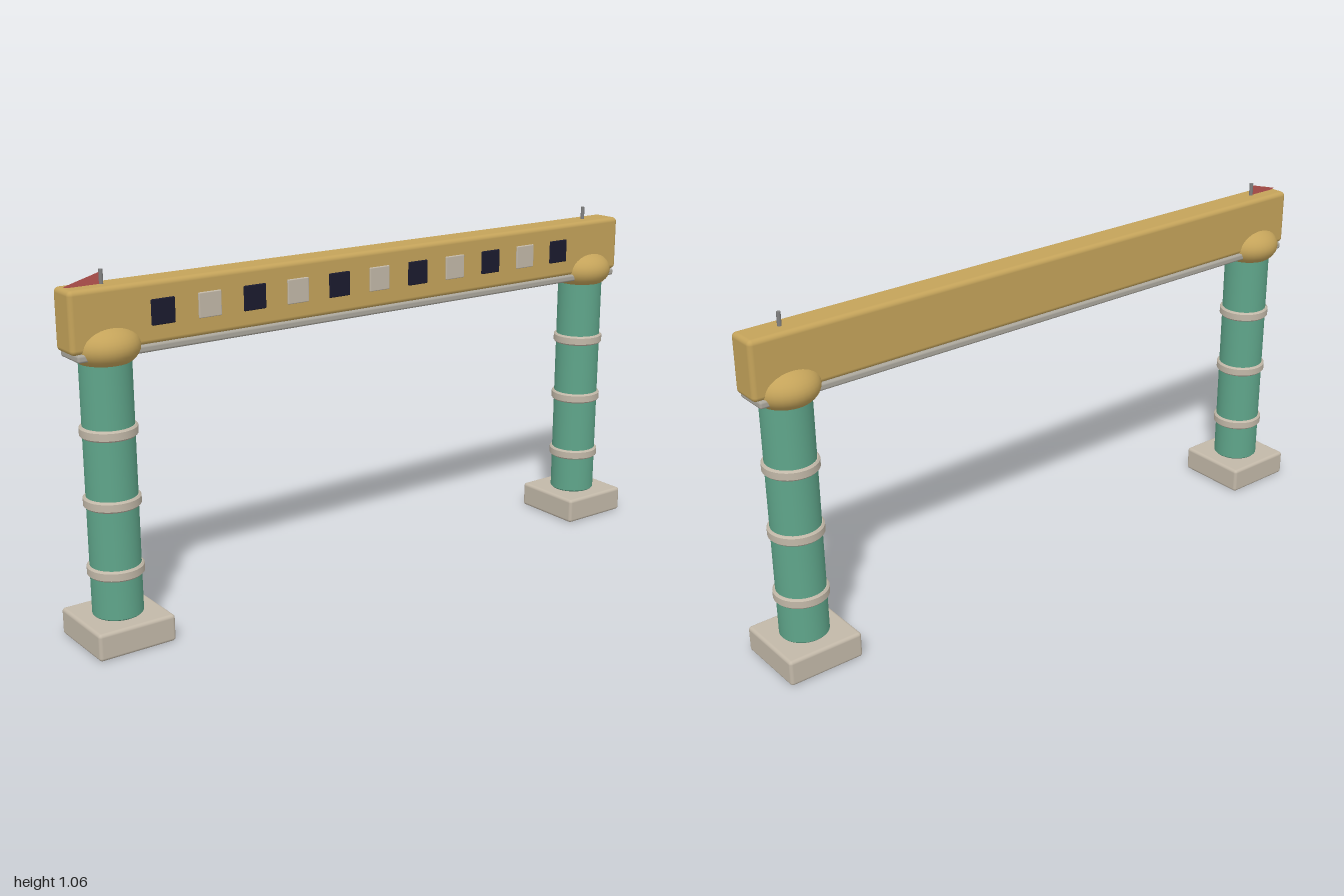
import * as THREE from 'three';
import { toCreasedNormals } from 'three/addons/utils/BufferGeometryUtils.js';
import { RoundedBoxGeometry } from 'three/addons/geometries/RoundedBoxGeometry.js';

function material(name, color, side = THREE.FrontSide) {
  const m = new THREE.MeshStandardMaterial({ color, side });
  m.name = name;
  return m;
}

// Solid cylinder with chamfered rims, standing on y = 0
function chamferedCylinder(r, h, c) {
  const profile = [[0, 0], [r - c, 0], [r, c], [r, h - c], [r - c, h], [0, h]]
    .map(([x, y]) => new THREE.Vector2(x, y));
  return toCreasedNormals(new THREE.LatheGeometry(profile, 40), 0.5);
}

export function createModel() {
  const gold = material('gold', 0xc4a35a);
  const green = material('jade green', 0x5fa58a);
  const stone = material('pale stone', 0xc2b8a8);
  const trim = material('grey stone', 0xaaa69c);
  const navy = material('navy', 0x1a1a2e);
  const metal = material('pole grey', 0x808080);
  const red = material('flag red', 0xb85450, THREE.DoubleSide);

  const model = new THREE.Group();
  model.name = 'gateway';
  const add = (parent, name, geometry, mat, x, y, z) => {
    const mesh = new THREE.Mesh(geometry, mat);
    mesh.name = name;
    mesh.position.set(x, y, z);
    parent.add(mesh);
    return mesh;
  };

  // Columns, each with base, bands, domed capital and pole
  const postX = 0.882;
  const baseGeo = new RoundedBoxGeometry(0.236, 0.08, 0.236, 3, 0.01);
  const shaftGeo = chamferedCylinder(0.072, 0.757, 0.006);
  const bandGeo = chamferedCylinder(0.08, 0.031, 0.005);
  const capitalGeo = new THREE.SphereGeometry(0.098, 32, 20).scale(1, 0.063 / 0.098, 1);
  const poleGeo = new THREE.CylinderGeometry(0.006, 0.006, 0.076, 12);
  for (const side of [-1, 1]) {
    const post = new THREE.Group();
    post.name = side < 0 ? 'rightColumn' : 'leftColumn';
    post.position.x = side * postX;
    add(post, 'base', baseGeo, stone, 0, 0.04, 0);
    add(post, 'shaft', shaftGeo, green, 0, 0.078, 0);
    for (const y of [0.198, 0.399, 0.6]) add(post, 'band', bandGeo, stone, 0, y, 0);
    add(post, 'capital', capitalGeo, gold, 0, 0.85, 0);
    add(post, 'pole', poleGeo, metal, 0, 1.018, 0);
    model.add(post);
  }

  // Beam and the ledge beneath it
  add(model, 'beam', new RoundedBoxGeometry(2, 0.173, 0.096, 3, 0.014), gold, 0, 0.93, 0);
  add(model, 'ledge', new RoundedBoxGeometry(1.97, 0.022, 0.106, 3, 0.007), trim, 0, 0.835, 0);

  // Alternating tiles along the front of the beam
  const tileGeo = new RoundedBoxGeometry(0.072, 0.072, 0.009, 2, 0.003);
  for (let i = -5; i <= 5; i++) {
    add(model, 'tile', tileGeo, i % 2 ? navy : stone, i * 0.1455, 0.931, 0.0485);
  }

  // Pennant on one pole
  const pennant = new THREE.Shape([
    new THREE.Vector2(0, 0.03), new THREE.Vector2(-0.11, 0), new THREE.Vector2(0, -0.03),
  ]);
  add(model, 'pennant', new THREE.ShapeGeometry(pennant), red, -postX, 1.02, 0);

  return model;
}
